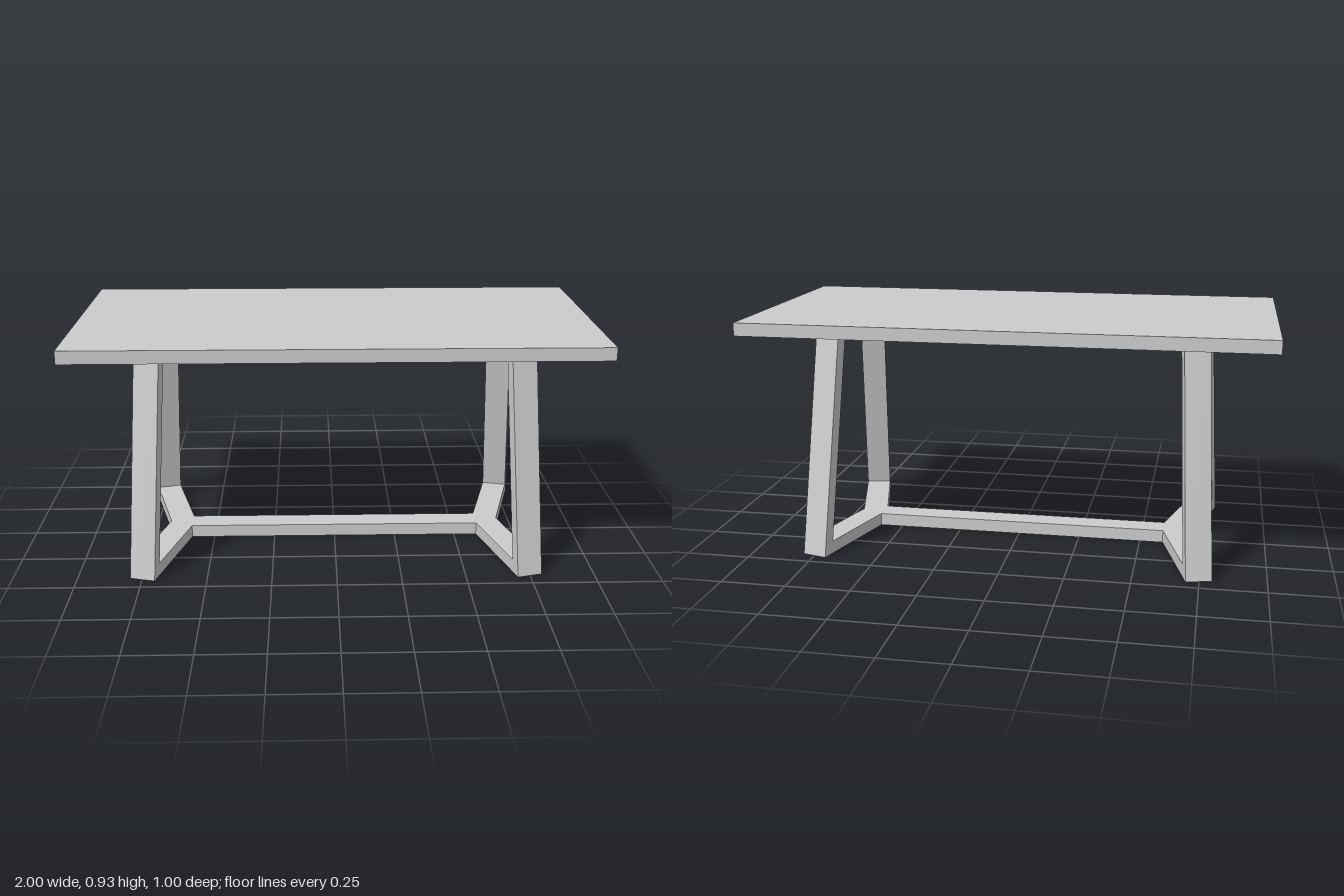
import * as THREE from 'three';

export function createModel() {
  const model = new THREE.Group();
  model.name = 'table';
  const material = new THREE.MeshStandardMaterial({ color: 0xcccccc, flatShading: true });
  const add = (name, geometry) => {
    const mesh = new THREE.Mesh(geometry, material);
    mesh.name = name;
    model.add(mesh);
    return mesh;
  };
  const polygon = (points) => new THREE.Shape(points.map(([x, y]) => new THREE.Vector2(x, y)));

  const topY = 0.88, topThickness = 0.05; // tabletop underside and thickness
  const bar = 0.05, width = 0.1;          // base bar height, timber width
  const splay = Math.PI / 12;             // arms turn 15 degrees off the z axis
  const ux = Math.sin(splay), uz = Math.cos(splay);
  const footX = 0.7485, footZ = 0.439;    // middle of a leg's outer foot edge
  const lean = 0.156, legDepth = 0.049;

  // Tabletop
  add('tabletop', new THREE.BoxGeometry(2, topThickness, 1)).position.y = topY + topThickness / 2;

  // Base: a V at each end joined by a stretcher, arms ending inside the legs
  const endX = footX - ux * 0.03, endZ = footZ - uz * 0.03;
  const sideX = uz * width / 2, sideZ = ux * width / 2;
  const inner = [endX - sideX, endZ + sideZ];
  const outer = [endX + sideX, endZ - sideZ];
  const slope = Math.tan(splay);
  const half = width / 2;
  const rightEnd = [
    [inner[0] - (inner[1] - half) * slope, half], inner, outer,
    [outer[0] - outer[1] * slope, 0],
    [outer[0], -outer[1]], [inner[0], -inner[1]],
    [inner[0] - (inner[1] - half) * slope, -half],
  ];
  const plan = [...rightEnd, ...rightEnd.map(([x, z]) => [-x, -z])];
  const base = new THREE.ExtrudeGeometry(polygon(plan), { depth: bar, bevelEnabled: false });
  base.rotateX(-Math.PI / 2);
  add('base', base);

  // Legs: a leaning profile, turned to follow each arm
  const profile = polygon([[-legDepth, 0], [0, 0], [-lean, topY], [-lean - legDepth, topY]]);
  const legGeometry = new THREE.ExtrudeGeometry(profile, { depth: width, bevelEnabled: false });
  legGeometry.translate(0, 0, -width / 2);
  for (const sx of [1, -1]) {
    for (const sz of [1, -1]) {
      const leg = add(`${sz > 0 ? 'front' : 'back'}${sx > 0 ? 'Left' : 'Right'}Leg`, legGeometry);
      leg.position.set(sx * footX, 0, sz * footZ);
      leg.rotation.y = -Math.atan2(sz * uz, sx * ux);
    }
  }
  return model;
}
